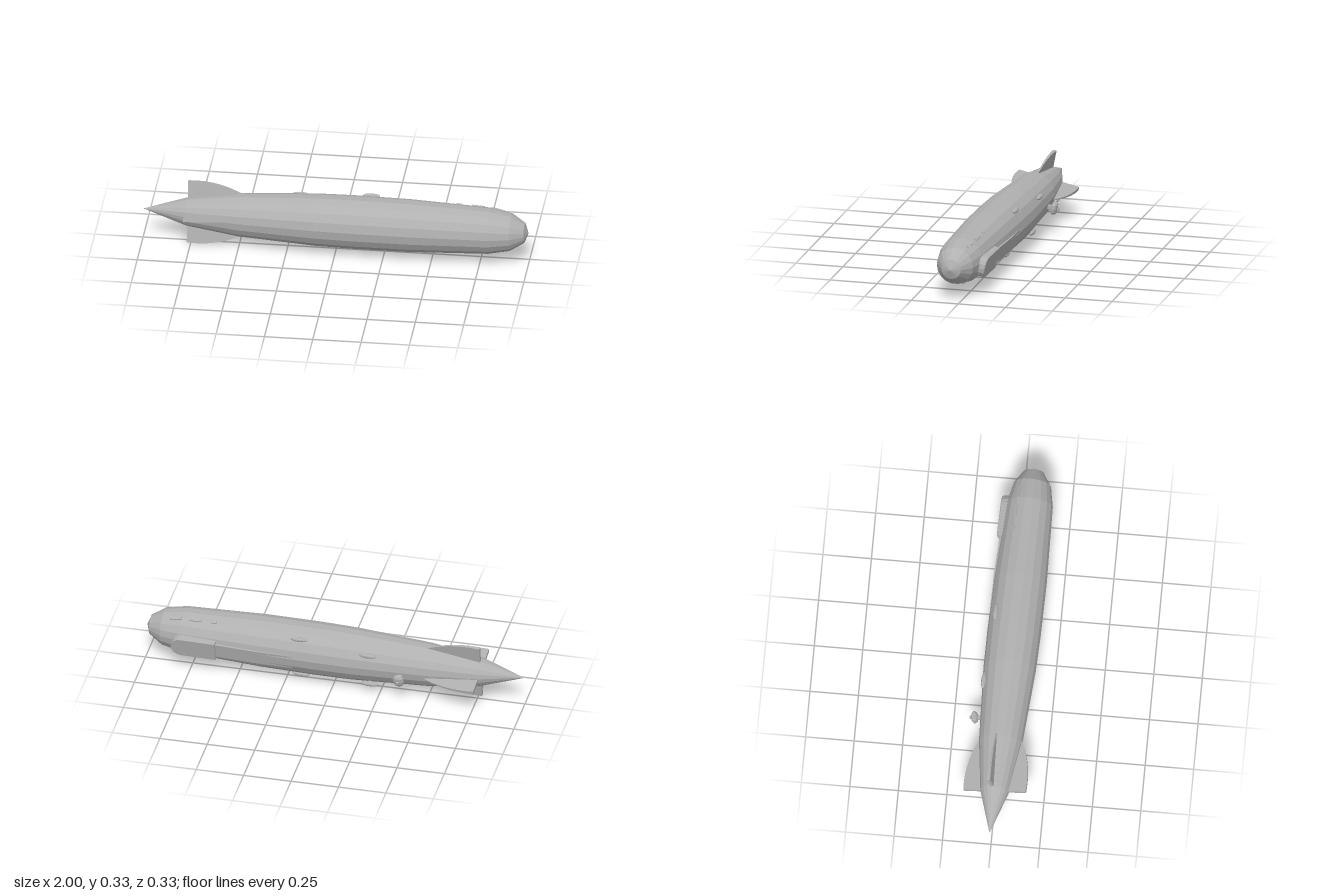
import * as THREE from 'three';

export function createModel() {
  const grey = new THREE.MeshStandardMaterial({ color: 0xb0b0b0 });
  grey.name = 'hull grey';
  grey.flatShading = true;

  // Local frame: x runs to the nose, -y is the belly, z is sideways
  const ship = new THREE.Group();
  ship.name = 'airship';
  const add = (geometry, name, parent = ship) => {
    const mesh = new THREE.Mesh(geometry, grey);
    mesh.name = name;
    parent.add(mesh);
    return mesh;
  };

  // Eighteen-sided envelope
  const profile = [
    [-1, 0], [-0.77, 0.074], [-0.5, 0.112], [-0.1, 0.135], [0.1, 0.138],
    [0.38, 0.136], [0.8, 0.119], [0.91, 0.097], [0.98, 0.052], [1, 0],
  ];
  const hull = new THREE.LatheGeometry(profile.map(([x, r]) => new THREE.Vector2(r, x)), 18);
  hull.rotateZ(-Math.PI / 2);
  add(hull, 'envelope');

  const segment = (x) => {
    const i = Math.max(1, profile.findIndex((p) => p[0] >= x));
    const [a, b] = [profile[i - 1], profile[i]];
    const slope = (b[1] - a[1]) / (b[0] - a[0]);
    return { r: a[1] + slope * (x - a[0]), slope };
  };

  // Four curved fins, thickening towards the trailing edge
  const finShape = new THREE.Shape();
  finShape.moveTo(-0.77, 0.05);
  finShape.lineTo(-0.48, 0.09);
  finShape.lineTo(-0.49, 0.112);
  finShape.quadraticCurveTo(-0.6, 0.166, -0.72, 0.166);
  finShape.lineTo(-0.77, 0.164);
  finShape.closePath();
  for (let i = 0; i < 4; i++) {
    const fin = new THREE.ExtrudeGeometry(finShape, { depth: 1, bevelEnabled: false, curveSegments: 6 });
    const p = fin.attributes.position;
    for (let j = 0; j < p.count; j++) {
      const thickness = 0.004 + 0.014 * (-0.48 - p.getX(j)) / 0.29;
      p.setZ(j, (p.getZ(j) - 0.5) * thickness);
    }
    fin.computeVertexNormals();
    fin.rotateX(i * Math.PI / 2);
    add(fin, ['dorsalFin', 'leftFin', 'ventralFin', 'rightFin'][i]);
  }

  // Control car with a rounded front, under the bow
  const car = new THREE.Shape();
  car.moveTo(0.61, -0.053);
  car.lineTo(0.785, -0.053);
  car.quadraticCurveTo(0.84, -0.05, 0.84, 0);
  car.quadraticCurveTo(0.84, 0.05, 0.785, 0.053);
  car.lineTo(0.61, 0.053);
  car.closePath();
  const carGeometry = new THREE.ExtrudeGeometry(car, {
    depth: 0.047, bevelThickness: 0.004, bevelSize: 0.003, bevelSegments: 1, curveSegments: 4,
  });
  carGeometry.rotateX(Math.PI / 2);
  carGeometry.translate(0, -0.09, 0);
  add(carGeometry, 'controlCar');

  // Shallow keel fading into the hull behind the car
  const keel = new THREE.Shape([
    new THREE.Vector2(0.62, -0.09), new THREE.Vector2(0.2, -0.1),
    new THREE.Vector2(0.2, -0.132), new THREE.Vector2(0.4, -0.1345), new THREE.Vector2(0.62, -0.128),
  ]);
  const keelGeometry = new THREE.ExtrudeGeometry(keel, { depth: 0.08, bevelEnabled: false });
  keelGeometry.translate(0, 0, -0.04);
  add(keelGeometry, 'keel');

  for (const side of [-1, 1]) {
    const label = side > 0 ? 'Lower' : 'Upper';
    // Spindle-shaped engine pods on short struts
    for (const [x, y, z] of [[0.17, -0.081, 0.121], [-0.2, -0.105, 0.098]]) {
      const pod = add(new THREE.SphereGeometry(0.013, 10, 8), 'enginePod' + label);
      pod.geometry.rotateZ(Math.PI / 2);
      pod.scale.x = 3.5;
      pod.position.set(x, y, z * side);
      const strut = add(new THREE.BoxGeometry(0.012, 0.006, 0.03), 'podStrut' + label);
      strut.position.set(x, y * 0.93, z * 0.93 * side);
      strut.rotation.x = side * Math.atan2(-y, z);
    }

    // Raised hatches along the flanks of the bow
    const flank = new THREE.Group();
    flank.name = 'hatches' + label;
    flank.rotation.x = side * THREE.MathUtils.degToRad(20) + (side < 0 ? Math.PI : 0);
    ship.add(flank);
    for (const [x, length] of [[0.63, 0.025], [0.73, 0.065], [0.835, 0.065]]) {
      const { r, slope } = segment(x);
      const hatch = add(new THREE.BoxGeometry(length, 0.016, 0.009), 'hatch', flank);
      hatch.position.set(x, 0, r);
      hatch.rotation.y = -Math.atan(slope);
    }
  }

  // Aft engine car: barrel lying crosswise, hung on a stem
  const barrel = new THREE.LatheGeometry([
    [0, -0.029], [0.019, -0.029], [0.027, -0.02], [0.03, 0], [0.027, 0.02], [0.019, 0.029], [0, 0.029],
  ].map(([r, y]) => new THREE.Vector2(r, y)), 10);
  barrel.rotateX(Math.PI / 2);
  barrel.scale(1, 0.6, 1);
  add(barrel, 'aftEngineCar').position.set(-0.37, -0.152, 0);
  add(new THREE.BoxGeometry(0.022, 0.04, 0.02), 'aftEngineStem').position.set(-0.37, -0.125, 0);
  add(new THREE.BoxGeometry(0.014, 0.012, 0.012), 'aftEngineBumper').position.set(-0.37, -0.172, 0);

  // Roll the belly towards the back and set the slight yaw and pitch
  const axis = new THREE.Vector3(2, 0.014, 0.053).normalize();
  const sideways = new THREE.Vector3().crossVectors(axis, new THREE.Vector3(0, 0.2, 0.98)).normalize();
  const dorsal = new THREE.Vector3().crossVectors(sideways, axis);
  ship.quaternion.setFromRotationMatrix(new THREE.Matrix4().makeBasis(axis, dorsal, sideways));
  ship.position.set(0, 0.1705, 0.0185);

  const model = new THREE.Group();
  model.name = 'model';
  model.add(ship);
  return model;
}
